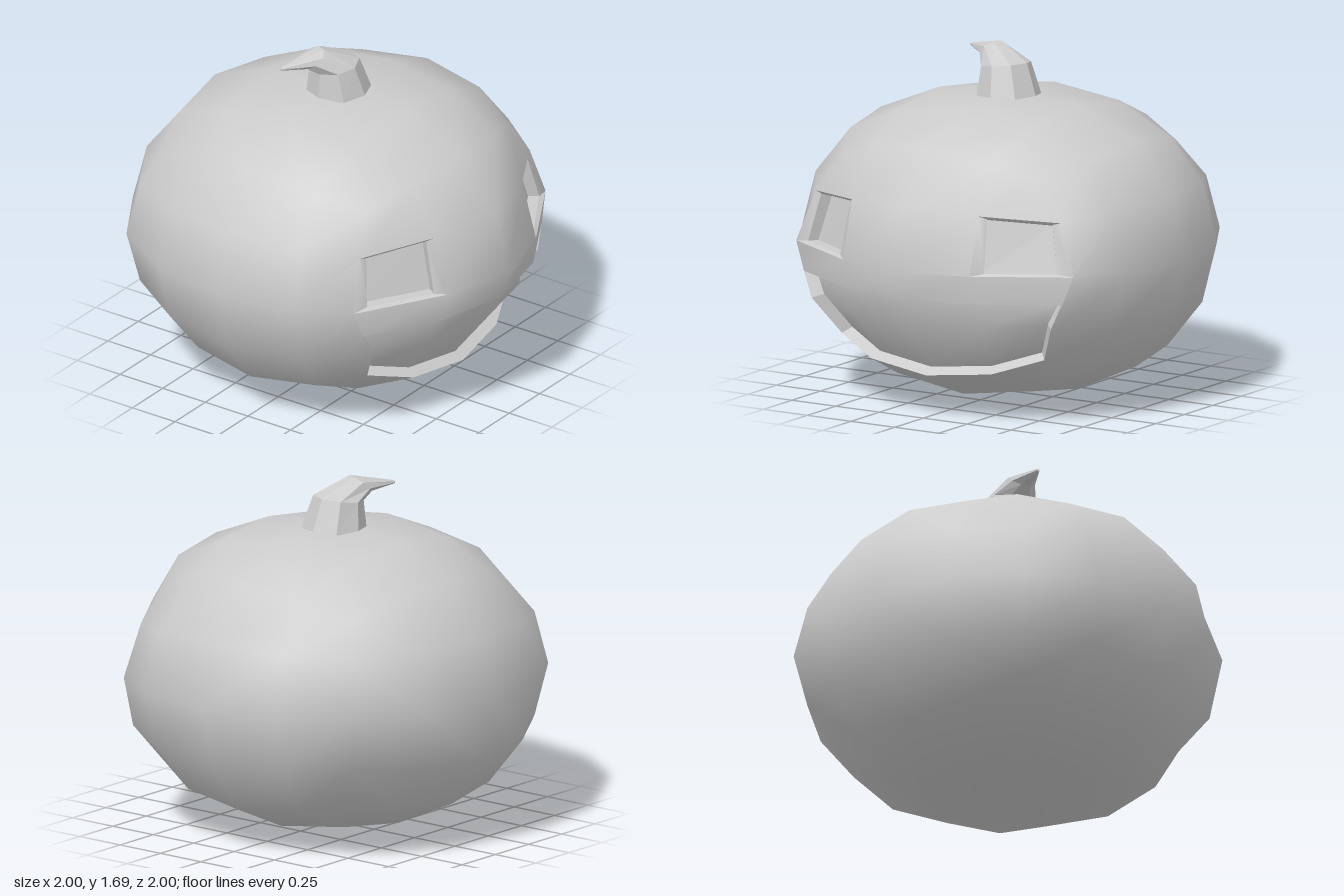
import * as THREE from 'three';
import { toCreasedNormals } from 'three/addons/utils/BufferGeometryUtils.js';

const V = (x, y, z) => new THREE.Vector3(x, y, z);
const CENTRE = V(0, 0.765, 0);

// Point of the squashed, rounded cube for lattice coordinates -2..2
function shellPoint(X, Y, Z) {
  const c = [X, Y, Z], abs = c.map(Math.abs);
  // cheeks flattened around the eyes
  if (X === 2 && abs[2] > 0) {
    const s = Math.sign(Z);
    if (Y === 0) return abs[2] === 2 ? V(0.65, 0.77, 0.79 * s) : V(0.9, 0.77, 0.36 * s);
    if (Y === 1) return abs[2] === 2 ? V(0.62, 1.02, 0.7 * s) : V(0.82, 1.05, 0.36 * s);
  }
  const [p, q] = [...abs].sort((a, b) => a - b);
  const dir = c.map((v, k) => {
    if (abs[k] !== 1) return v / 2;
    const other = Math.min(...abs.filter((_, m) => m !== k));
    return v * (0.43 + 0.0175 * other * other);
  });
  const r = 1 + 0.0075 * (p * p + q * q) - 0.00375 * p * p * q * q;
  const d = V(...dir).setLength(r);
  const dimple = 0.04 * Math.max(0, 1 - Math.hypot(d.x, d.z) / 0.6) * (d.y > 0 ? 1 : 0);
  return V(d.x, Math.max(0, CENTRE.y + 0.755 * d.y - dimple), d.z);
}

// Front face grid, with the extra row that forms the upper lip
function facePoint(Y, Z) {
  if (Y !== -0.5) return shellPoint(2, Y, Z);
  const p = shellPoint(2, 0, Z).lerp(shellPoint(2, -1, Z), 0.5);
  p.y = 0.63;
  return p;
}

function quad(out, a, b, c, d) {
  for (const p of [a, b, c, a, c, d]) out.push(p.x, p.y, p.z);
}

// Quad turned so that it faces away from the body centre
function outerQuad(out, a, b, c, d) {
  const n = c.clone().sub(a).cross(d.clone().sub(b));
  const mid = a.clone().add(b).add(c).add(d).multiplyScalar(0.25).sub(CENTRE);
  if (n.dot(mid) > 0) quad(out, a, b, c, d);
  else quad(out, d, c, b, a);
}

// Walls of a recess between an outer and an inner loop
function loopWalls(out, outer, inner) {
  outer.forEach((p, k) => {
    const m = (k + 1) % outer.length;
    quad(out, p, outer[m], inner[m], inner[k]);
  });
}

function makeMesh(name, positions, crease) {
  let geo = new THREE.BufferGeometry();
  geo.setAttribute('position', new THREE.Float32BufferAttribute(positions, 3));
  geo.computeVertexNormals();
  if (crease) geo = toCreasedNormals(geo, crease);
  const mesh = new THREE.Mesh(geo, new THREE.MeshStandardMaterial({ color: 0xcccccc, flatShading: !crease }));
  mesh.name = name;
  return mesh;
}

// Eye opening, anticlockwise from outside; side is +1 or -1 in z
function eyeLoop(side) {
  const loop = [V(0.67, 0.78, 0.71), V(0.85, 0.78, 0.41), V(0.79, 1.035, 0.39), V(0.63, 1.01, 0.66)];
  loop.forEach((p) => { p.z *= side; });
  return side > 0 ? loop : loop.reverse();
}

function createShell() {
  const out = [];
  // five plain sides
  for (let axis = 0; axis < 3; axis++) for (const sign of [-2, 2]) {
    if (axis === 0 && sign === 2) continue;
    const at = (i, j) => {
      const c = [0, 0, 0];
      c[axis] = sign; c[(axis + 1) % 3] = i; c[(axis + 2) % 3] = j;
      return shellPoint(...c);
    };
    for (let i = -2; i < 2; i++) for (let j = -2; j < 2; j++) {
      outerQuad(out, at(i, j), at(i + 1, j), at(i + 1, j + 1), at(i, j + 1));
    }
  }
  // carved side above the mouth, with a rim around each eye
  for (const [y0, y1] of [[-0.5, 0], [0, 1], [1, 2]]) for (let z = -2; z < 2; z++) {
    const cell = [facePoint(y0, z + 1), facePoint(y0, z), facePoint(y1, z), facePoint(y1, z + 1)];
    if (y0 === 0 && (z === 1 || z === -2)) {
      let eye = eyeLoop(z === 1 ? 1 : -1);
      if (z === -2) eye = [eye[2], eye[3], eye[0], eye[1]];
      cell.forEach((p, k) => {
        const m = (k + 1) % 4;
        outerQuad(out, p, cell[m], eye[m], eye[k]);
      });
    } else outerQuad(out, ...cell);
  }
  return makeMesh('pumpkinShell', out, 0.8);
}

function createEye(side) {
  const out = [], rim = eyeLoop(side);
  const floor = rim.map((p) => p.clone().add(V(-0.045, -0.015, -0.03 * side)));
  // bottom wall stays level
  floor.forEach((p) => { if (p.y < 0.9) p.y = 0.78; });
  loopWalls(out, rim, floor);
  quad(out, ...floor);
  return makeMesh(side > 0 ? 'leftEye' : 'rightEye', out);
}

function createMouth() {
  const group = new THREE.Group();
  group.name = 'mouth';
  const inset = (Y, Z) => {
    const p = facePoint(Y, Z).sub(CENTRE).multiplyScalar(0.937).add(CENTRE);
    if (Y === -0.5) p.y = 0.63;
    return p;
  };
  // sunken floor
  const floor = [];
  for (const [y0, y1] of [[-2, -1], [-1, -0.5]]) for (let z = -2; z < 2; z++) {
    outerQuad(floor, inset(y0, z), inset(y0, z + 1), inset(y1, z + 1), inset(y1, z));
  }
  // lips
  const walls = [];
  const path = [[-2, 2], [-2, 1], [-2, 0], [-2, -1], [-2, -2], [-1, -2],
    [-0.5, -2], [-0.5, -1], [-0.5, 0], [-0.5, 1], [-0.5, 2], [-1, 2]];
  loopWalls(walls, path.map((p) => facePoint(...p)), path.map((p) => inset(...p)));
  group.add(makeMesh('mouthFloor', floor, 0.8), makeMesh('mouthLips', walls));
  return group;
}

function createStem() {
  const sides = 8, out = [];
  // [height, forward, radius, tilt]
  const rings = [[1.46, 0, 0.157, 0], [1.605, 0.025, 0.122, 0.14], [1.663, 0.145, 0.066, 0.7], [1.648, 0.325, 0.008, 1.3]]
    .map(([y, z, r, tilt]) => Array.from({ length: sides }, (_, k) => {
      const a = ((k + 0.5) / sides) * Math.PI * 2;
      const w = r * Math.cos(a);
      return V(r * Math.sin(a), y - w * Math.sin(tilt), z + w * Math.cos(tilt));
    }));
  for (let i = 0; i < rings.length - 1; i++) for (let k = 0; k < sides; k++) {
    const m = (k + 1) % sides;
    quad(out, rings[i][k], rings[i][m], rings[i + 1][m], rings[i + 1][k]);
  }
  // blunt tip
  const tip = rings[rings.length - 1];
  for (let k = 1; k < sides - 2; k += 2) quad(out, tip[0], tip[k], tip[k + 1], tip[k + 2]);
  const stem = makeMesh('stem', out);
  stem.rotation.y = -0.41;
  return stem;
}

export function createModel() {
  const model = new THREE.Group();
  model.name = 'carvedPumpkin';
  model.add(createShell(), createEye(1), createEye(-1), createMouth(), createStem());
  return model;
}
